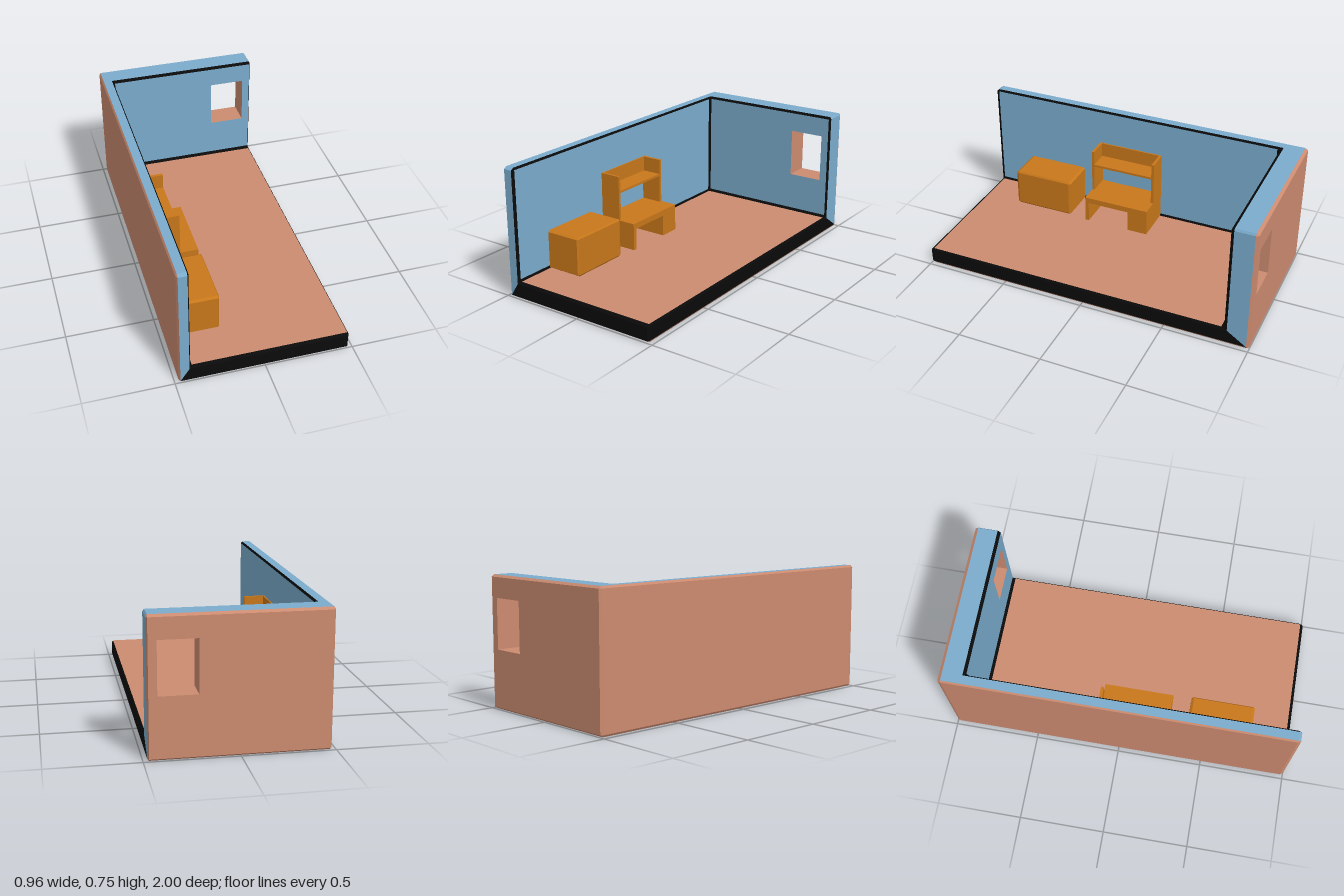
import * as THREE from 'three';
import { ConvexGeometry } from 'three/addons/geometries/ConvexGeometry.js';

const material = (color) => new THREE.MeshStandardMaterial({ color, flatShading: true });

// Chamfer size per axis, and the levels of the three-sided shell along x, y, z:
// o outer face, p outer after chamfer, e lip, i inner face, s inner after corner strip, g far chamfer, f far end
const BEVEL = [0.008, 0.012, 0.017];
const LEVELS = [[-0.478, -0.412, 0.478], [0, 0.102, 0.755], [-1, -0.852, 1]].map(([o, i, f], k) => {
  const b = BEVEL[k];
  return { o, p: o + b, e: i - b, i, s: i + b, g: f - b, f };
});
const WINDOW = { x0: 0.215, x1: 0.425, y0: 0.34, y1: 0.628 };

// Mesh of convex flat polygons, each turned to face its hint direction
function polygonMesh(name, mat, polygons) {
  const positions = [];
  for (const { points, hint } of polygons) {
    const n = new THREE.Vector3().crossVectors(
      points[1].clone().sub(points[0]), points[2].clone().sub(points[0]));
    const ring = n.dot(hint) < 0 ? [...points].reverse() : points;
    for (let k = 1; k < ring.length - 1; k++)
      for (const v of [ring[0], ring[k], ring[k + 1]]) positions.push(v.x, v.y, v.z);
  }
  const geo = new THREE.BufferGeometry();
  geo.setAttribute('position', new THREE.Float32BufferAttribute(positions, 3));
  geo.computeVertexNormals();
  const mesh = new THREE.Mesh(geo, mat);
  mesh.name = name;
  return mesh;
}

// Floor and two walls: the same slab repeated over the three axes
function createShell(mats) {
  const shell = new THREE.Group();
  shell.name = 'roomShell';
  const slabs = ['leftWall', 'floor', 'backWall'];
  const outer = [], trim = [], ends = [[], [], []], inner = [[], [], []];

  for (let a = 0; a < 3; a++) {
    const b = (a + 1) % 3, c = (a + 2) % 3;
    // Corner codes and hint are given in (a, b, c) order
    const add = (list, codes, h) => {
      const place = (values) => {
        const v = new THREE.Vector3();
        [a, b, c].forEach((axis, k) => v.setComponent(axis, values[k]));
        return v;
      };
      const points = codes.split(' ').map((t) => place([LEVELS[a][t[0]], LEVELS[b][t[1]], LEVELS[c][t[2]]]));
      list.push({ points, hint: place(h) });
    };
    if (a !== 2) {
      add(outer, 'opp ogp ogg opg', [-1, 0, 0]);
      add(inner[a], 'iss igs igg isg', [1, 0, 0]);
    }
    // Inner corner strip and lips along the free edges
    add(trim, 'iss sis sig isg'.replace('sig', 'sig'), [1, 1, 0]);
    add(trim, 'igs efe efg igg', [1, 1, 0]);
    add(trim, 'isg eef egf igg', [1, 0, 1]);
    add(trim, 'efe igs sgi', [1, 1, 1]);
    add(trim, 'igg efg egf', [1, 1, 1]);
    // Slab ends and the chamfer between them
    add(ends[a], 'pfp efe efg pfg', [0, 1, 0]);
    add(ends[a], 'ppf eef egf pgf', [0, 0, 1]);
    add(ends[a], 'pfg efg egf pgf', [0, 1, 1]);
    // Outer chamfers
    add(outer, 'opp pop pog opg', [-1, -1, 0]);
    add(outer, 'ogp pfp pfg ogg', [-1, 1, 0]);
    add(outer, 'opg ppf pgf ogg', [-1, 0, 1]);
    add(outer, 'opg pog ppf', [-1, -1, 1]);
    add(outer, 'ogg pfg pgf', [-1, 1, 1]);
    if (a === 0) {
      add(outer, 'opp pop ppo', [-1, -1, -1]);
      add(trim, 'iss sis ssi', [1, 1, 1]);
    }
  }

  // Window reveal
  const { x0, x1, y0, y1 } = WINDOW;
  const corners = [[x0, y0], [x1, y0], [x1, y1], [x0, y1]];
  corners.forEach(([x, y], k) => {
    const [u, v] = corners[(k + 1) % 4];
    const { o, i } = LEVELS[2];
    outer.push({
      points: [[x, y, o], [u, v, o], [u, v, i], [x, y, i]].map((q) => new THREE.Vector3(...q)),
      hint: new THREE.Vector3((x0 + x1 - x - u) / 2, (y0 + y1 - y - v) / 2, 0),
    });
  });

  shell.add(polygonMesh('outerShell', mats.clay, outer), polygonMesh('edgeTrim', mats.black, trim));
  slabs.forEach((name, a) => {
    shell.add(polygonMesh(name + 'Ends', a === 1 ? mats.black : mats.blue, ends[a]));
    if (a !== 2) shell.add(polygonMesh(name + 'Inside', a === 1 ? mats.clay : mats.blue, inner[a]));
  });

  // Back wall faces with the window opening
  const wallFace = (name, start, z, mat, flip) => {
    const [X, Y] = LEVELS;
    const rect = (l, r, d, u) => [[l, d], [r, d], [r, u], [l, u]].map((q) => new THREE.Vector2(...q));
    const shape = new THREE.Shape(rect(X[start], X.g, Y[start], Y.g));
    shape.holes.push(new THREE.Path(rect(x0, x1, y0, y1)));
    const geo = new THREE.ShapeGeometry(shape);
    if (flip) {
      geo.index.array.reverse();
      geo.computeVertexNormals();
    }
    const mesh = new THREE.Mesh(geo, mat);
    mesh.name = name;
    mesh.position.z = z;
    shell.add(mesh);
  };
  wallFace('backWallInside', 's', LEVELS[2].i, mats.blue, false);
  wallFace('backWallOutside', 'p', LEVELS[2].o, mats.clay, true);
  return shell;
}

// Box given by its limits on each axis
function block(name, mat, [ax, bx], [ay, by], [az, bz]) {
  const mesh = new THREE.Mesh(new THREE.BoxGeometry(bx - ax, by - ay, bz - az), mat);
  mesh.position.set((ax + bx) / 2, (ay + by) / 2, (az + bz) / 2);
  mesh.name = name;
  return mesh;
}

// Desk with an open shelf unit on top
function createDesk(mat) {
  const desk = new THREE.Group();
  desk.name = 'desk';
  const deep = [-0.41, -0.177], shallow = [-0.41, -0.283];
  desk.add(
    block('deskTop', mat, deep, [0.23, 0.265], [-0.13, 0.28]),
    block('deskLeg', mat, deep, [0.102, 0.23], [0.257, 0.28]),
    block('deskPedestal', mat, deep, [0.102, 0.23], [-0.13, -0.005]),
    block('shelfSideFront', mat, shallow, [0.265, 0.535], [0.265, 0.28]),
    block('shelfSideBack', mat, shallow, [0.265, 0.535], [-0.13, -0.113]),
    block('shelf', mat, shallow, [0.432, 0.446], [-0.113, 0.265]),
    block('shelfBackPanel', mat, [-0.41, -0.402], [0.446, 0.535], [-0.113, 0.265]),
  );
  return desk;
}

// Chest with chamfered edges
function createChest(mat) {
  const half = [0.11, 0.115, 0.187], points = [];
  for (const x of [-1, 1]) for (const y of [-1, 1]) for (const z of [-1, 1])
    for (let flat = 0; flat < 3; flat++)
      points.push(new THREE.Vector3(...[x, y, z].map((sign, k) =>
        sign * (half[k] - (k === flat ? 0 : BEVEL[k] * 0.8)))));
  const chest = new THREE.Mesh(new ConvexGeometry(points), mat);
  chest.position.set(-0.297, 0.217, 0.574);
  chest.name = 'chest';
  return chest;
}

export function createModel() {
  const mats = {
    clay: material(0xcc8b70), blue: material(0x7aabcc),
    black: material(0x0a0a0a), orange: material(0xc8771a),
  };
  const model = new THREE.Group();
  model.name = 'room';
  model.add(createShell(mats), createDesk(mats.orange), createChest(mats.orange));
  return model;
}
